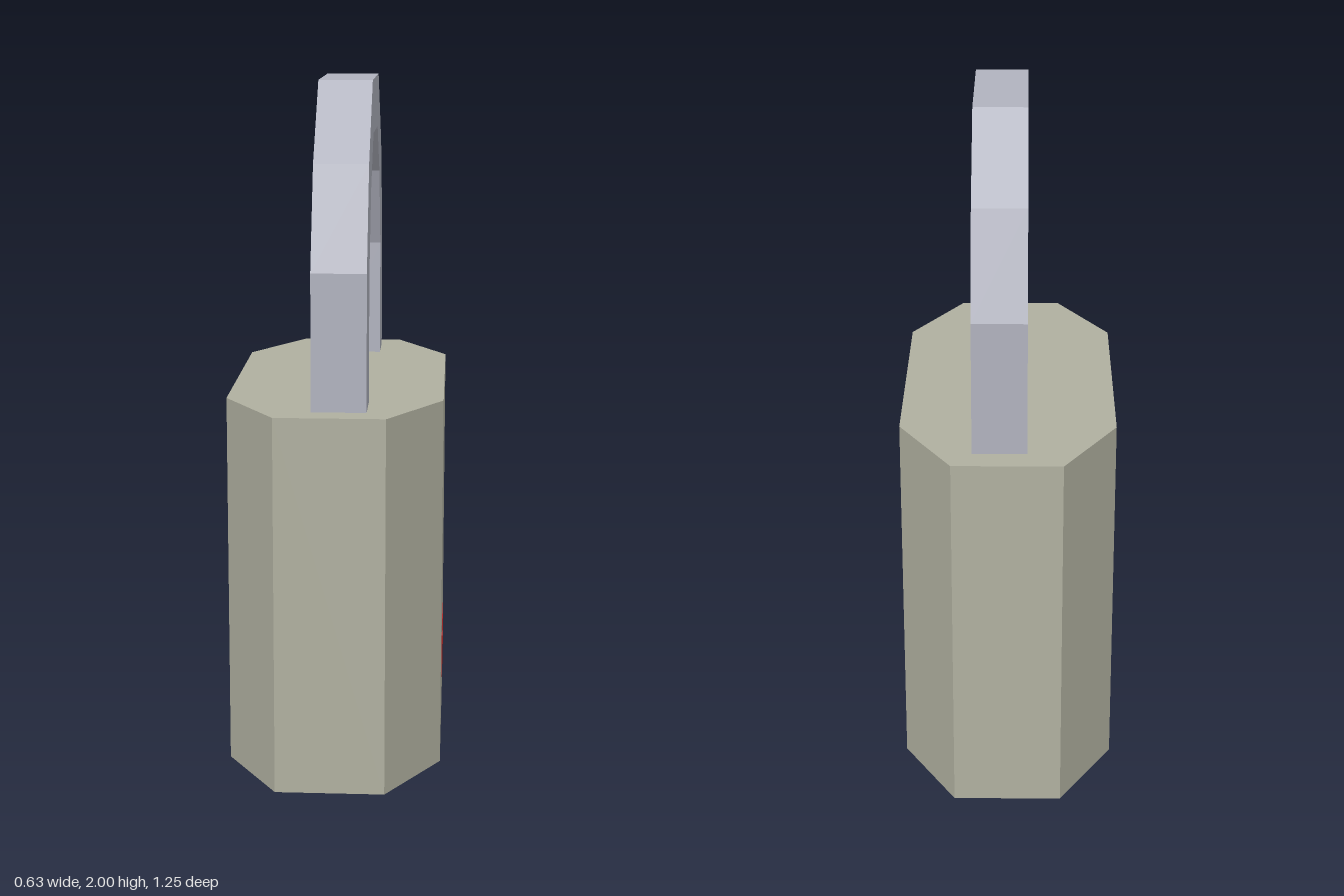
import * as THREE from 'three';

const paint = (name, color) => {
  const m = new THREE.MeshStandardMaterial({ color });
  m.name = name;
  return m;
};

// Flat-sided prism from an outline
const prism = (points, depth) => new THREE.ExtrudeGeometry(
  new THREE.Shape(points.map(([x, y]) => new THREE.Vector2(x, y))),
  { depth, bevelEnabled: false });

// Rectangle with slightly clipped corners, centred on the origin
const plate = (w, h, c, depth) => {
  const a = w / 2, b = h / 2;
  return prism([[a - c, -b], [a, -b + c], [a, b - c], [a - c, b],
    [-a + c, b], [-a, b - c], [-a, -b + c], [-a + c, -b]], depth);
};

export function createModel() {
  const group = new THREE.Group();
  const casing = paint('grey green casing', 0xb0b0a0);
  const steel = paint('blue grey steel', 0xb1b3bf);
  const red = paint('red label', 0xb02626);
  const olive = paint('olive keyway', 0x968c54);

  const add = (name, geometry, material) => {
    const mesh = new THREE.Mesh(geometry, material);
    mesh.name = name;
    group.add(mesh);
    return mesh;
  };

  // Eight-sided body
  const base = 0.002, height = 1.1;
  const body = prism([[0.157, -0.627], [0.313, -0.365], [0.313, 0.365], [0.157, 0.627],
    [-0.157, 0.627], [-0.313, 0.365], [-0.313, -0.365], [-0.157, -0.627]], height - base);
  body.rotateX(-Math.PI / 2).translate(0, base, 0);
  add('body', body, casing);

  // Shackle: half outlines mirrored into an arch, set slightly off centre
  const outer = [[0.548, 1.1], [0.548, 1.49], [0.43, 1.78], [0.207, 2]];
  const inner = [[0.395, 1.1], [0.395, 1.457], [0.295, 1.696], [0.145, 1.845]];
  const mirror = (half) => half.map(([z, y]) => [-z, y]).reverse();
  const arch = prism([...outer, ...mirror(outer), ...inner.map(([z, y]) => [-z, y]),
    ...inner.slice().reverse()], 0.156);
  arch.rotateY(-Math.PI / 2).translate(0.1, 0, 0);
  add('shackle', arch, steel);

  // Red labels low on both broad sides
  for (const side of [1, -1]) {
    const label = add(side > 0 ? 'leftLabel' : 'rightLabel', plate(0.31, 0.152, 0.012, 0.003), red);
    label.rotation.y = side * Math.PI / 2;
    label.position.set(side * 0.312, 0.235, -side * 0.075);
  }

  // Keyway plate under the body
  const keyway = add('keywayPlate', plate(0.3, 0.3, 0.012, 0.003), olive);
  keyway.rotation.x = Math.PI / 2;
  keyway.position.y = 0.003;

  return group;
}
